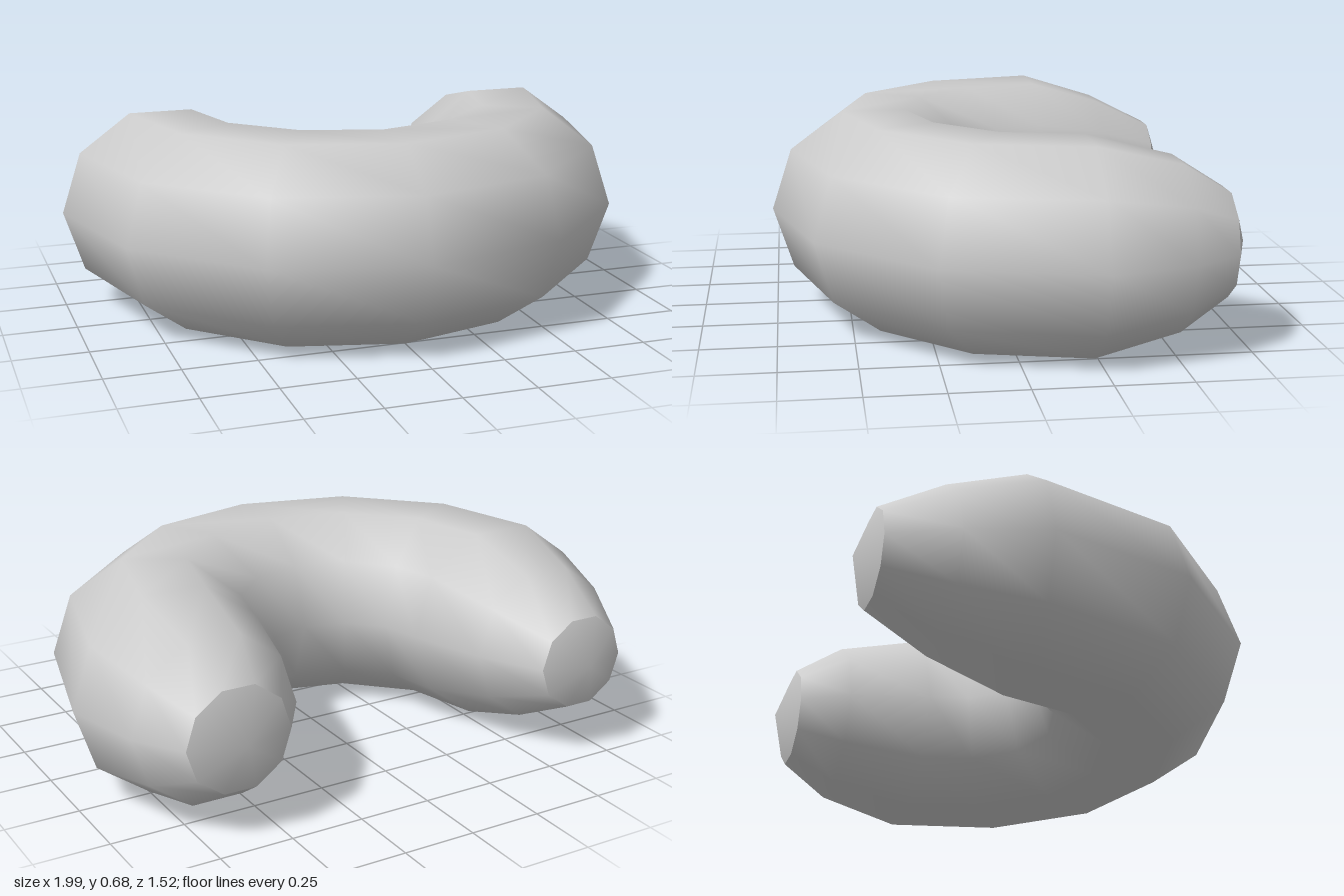
import * as THREE from 'three';

const SIDES = 10;
const MID_Y = 0.34;

// Ring stations on one arm: outer and inner points as [x, z], starting beside the middle
const bend = [
  [[0.5, 0.625], [0.145, 0.005]],
  [[0.867, 0.26], [0.252, -0.1]],
  [[0.997, -0.24], [0.285, -0.24]],
];
const leftEnd = [
  [[0.925, -0.52], [0.355, -0.52]],
  [[0.82, -0.68], [0.463, -0.68]],
];
const rightEnd = [
  [[0.915, -0.5], [0.37, -0.5]],
  [[0.805, -0.71], [0.48, -0.71]],
];
const middle = [[0, 0.757], [0, -0.045]];
middle[1][1] = 0.045;

const mirror = (stations) => stations.map((s) => s.map(([x, z]) => [-x, z]));

// Ten-sided upright ring spanning an outer and an inner point
function ringPoints([outer, inner]) {
  const cx = (outer[0] + inner[0]) / 2, cz = (outer[1] + inner[1]) / 2;
  const dx = outer[0] - cx, dz = outer[1] - cz;
  const r = Math.hypot(dx, dz);
  const points = [];
  for (let j = 0; j < SIDES; j++) {
    const a = (j / SIDES) * Math.PI * 2;
    points.push([cx + dx * Math.cos(a), MID_Y + r * Math.sin(a), cz + dz * Math.cos(a)]);
  }
  return points;
}

function makeMesh(name, points, index, material) {
  const geometry = new THREE.BufferGeometry();
  geometry.setAttribute('position', new THREE.Float32BufferAttribute(points.flat(), 3));
  geometry.setIndex(index);
  geometry.computeVertexNormals();
  const mesh = new THREE.Mesh(geometry, material);
  mesh.name = name;
  return mesh;
}

// Shallow cone closing one end of the tube
function makeTip(name, ring, apex, flip, material) {
  const index = [];
  for (let j = 0; j < SIDES; j++) {
    const k = (j + 1) % SIDES;
    index.push(SIDES, flip ? k : j, flip ? j : k);
  }
  return makeMesh(name, [...ring, apex], index, material);
}

export function createModel() {
  const group = new THREE.Group();
  group.name = 'curvedSausage';
  const material = new THREE.MeshStandardMaterial({ color: 0xcccccc });

  // Body: rings skinned from the right end, round the front, to the left end
  const stations = [
    ...mirror([...bend, ...rightEnd]).reverse(),
    middle,
    ...bend,
    ...leftEnd,
  ];
  const rings = stations.map(ringPoints);
  const index = [];
  for (let i = 0; i < rings.length - 1; i++) {
    for (let j = 0; j < SIDES; j++) {
      const k = (j + 1) % SIDES;
      const a = i * SIDES + j, d = i * SIDES + k;
      index.push(a, a + SIDES, d, d, a + SIDES, d + SIDES);
    }
  }
  group.add(makeMesh('body', rings.flat(), index, material));

  // End tips
  group.add(makeTip('rightTip', rings[0], [-0.64, MID_Y, -0.765], false, material));
  group.add(makeTip('leftTip', rings[rings.length - 1], [0.64, MID_Y, -0.74], true, material));
  return group;
}
